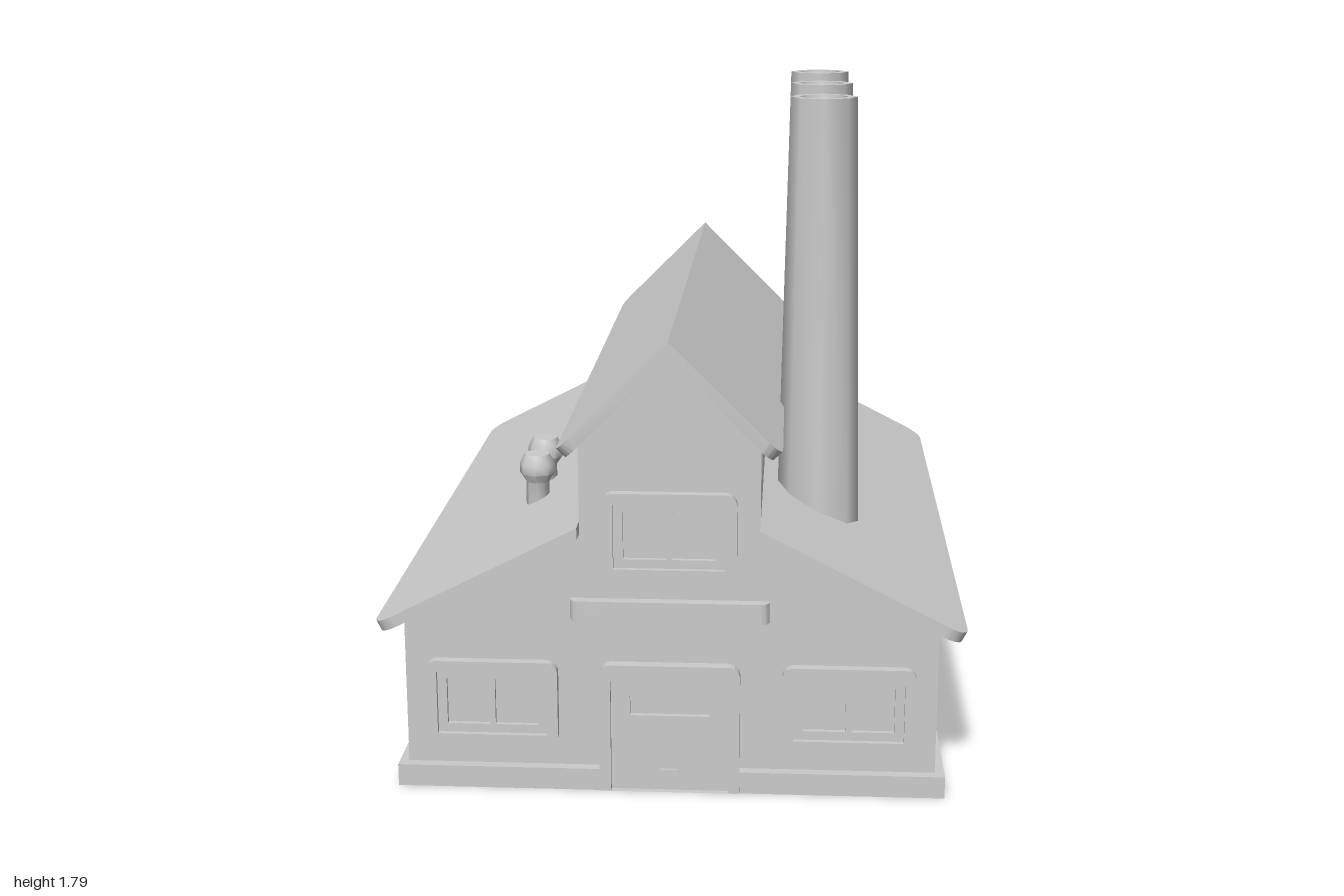
import * as THREE from 'three';
import { toCreasedNormals } from 'three/addons/utils/BufferGeometryUtils.js';

const material = new THREE.MeshStandardMaterial({ color: 0xcccccc });

function addMesh(parent, name, geometry, x = 0, y = 0, z = 0) {
  const mesh = new THREE.Mesh(toCreasedNormals(geometry, 0.9), material);
  mesh.name = name;
  mesh.position.set(x, y, z);
  parent.add(mesh);
  return mesh;
}

function extrude(shape, depth) {
  return new THREE.ExtrudeGeometry(shape, { depth, bevelEnabled: false, curveSegments: 5 });
}

function polygon(points) {
  return new THREE.Shape(points.map(([x, y]) => new THREE.Vector2(x, y)));
}

function rect(x0, y0, x1, y1) {
  return polygon([[x0, y0], [x1, y0], [x1, y1], [x0, y1]]);
}

// Rectangle with rounded top corners and, if rb > 0, rounded bottom corners
function roundRect(x0, y0, x1, y1, rt, rb = rt) {
  const s = new THREE.Shape();
  s.moveTo(x0 + rb, y0);
  s.lineTo(x1 - rb, y0);
  if (rb) s.absarc(x1 - rb, y0 + rb, rb, -Math.PI / 2, 0);
  s.lineTo(x1, y1 - rt);
  if (rt) s.absarc(x1 - rt, y1 - rt, rt, 0, Math.PI / 2);
  s.lineTo(x0 + rt, y1);
  if (rt) s.absarc(x0 + rt, y1 - rt, rt, Math.PI / 2, Math.PI);
  s.lineTo(x0, y0 + rb);
  if (rb) s.absarc(x0 + rb, y0 + rb, rb, Math.PI, Math.PI * 1.5);
  return s;
}

// Window facing +z, its back on z = 0
function makeWindow() {
  const g = new THREE.Group();
  g.name = 'window';
  const frame = roundRect(-0.175, -0.117, 0.175, 0.117, 0.03);
  frame.holes.push(rect(-0.145, -0.087, 0.145, 0.087));
  addMesh(g, 'windowFrame', extrude(frame, 0.035), 0, 0, -0.01);
  const sash = rect(-0.146, -0.088, 0.146, 0.088);
  sash.holes.push(rect(-0.12, -0.063, -0.008, 0.063), rect(0.008, -0.063, 0.12, 0.063));
  addMesh(g, 'windowSash', extrude(sash, 0.022), 0, 0, -0.01);
  return g;
}

// Door facing +z, its back on z = 0
function makeDoor() {
  const g = new THREE.Group();
  g.name = 'door';
  const frame = roundRect(-0.185, 0, 0.185, 0.355, 0.03, 0);
  frame.holes.push(roundRect(-0.155, 0, 0.155, 0.32, 0.012, 0));
  addMesh(g, 'doorFrame', extrude(frame, 0.04), 0, 0, -0.01);
  const panel = rect(-0.155, 0, 0.155, 0.32);
  panel.holes.push(rect(-0.105, 0.21, 0.105, 0.265));
  addMesh(g, 'doorPanel', extrude(panel, 0.024), 0, 0, -0.01);
  addMesh(g, 'doorHandle', extrude(roundRect(-0.026, 0.045, 0.026, 0.06, 0.004), 0.014), 0, 0, 0.01);
  return g;
}

// Roof slab falling towards +x, cut upright at its top, rounded at the eave corners
function makeRoofSlab(topX, topY, eaveX, eaveY, halfZ, thickness, radius) {
  const length = Math.hypot(eaveX - topX, eaveY - topY);
  const c = (eaveX - topX) / length;
  const s = (topY - eaveY) / length;
  const shape = new THREE.Shape();
  shape.moveTo(0, -halfZ);
  shape.lineTo(length - radius, -halfZ);
  shape.absarc(length - radius, -halfZ + radius, radius, -Math.PI / 2, 0);
  shape.lineTo(length, halfZ - radius);
  shape.absarc(length - radius, halfZ - radius, radius, 0, Math.PI / 2);
  shape.lineTo(0, halfZ);
  const geometry = extrude(shape, thickness);
  const p = geometry.attributes.position;
  for (let i = 0; i < p.count; i++) {
    if (p.getX(i) < 1e-5) p.setX(i, p.getZ(i) * s / c);
  }
  const placing = new THREE.Matrix4().makeBasis(
    new THREE.Vector3(c, -s, 0), new THREE.Vector3(0, 0, 1), new THREE.Vector3(-s, -c, 0));
  placing.setPosition(topX, topY, 0);
  return geometry.applyMatrix4(placing);
}

function lathe(points) {
  return new THREE.LatheGeometry(points.map(([x, y]) => new THREE.Vector2(x, y)), 8);
}

export function createModel() {
  const model = new THREE.Group();
  model.name = 'factory';

  // Walls with the raised middle as one cross-section
  const half = [[0.7, 0.02], [0.7, 0.48], [0.235, 0.72], [0.235, 0.955]];
  const section = [...half, [0, 1.19], ...half.map(([x, y]) => [-x, y]).reverse()];
  addMesh(model, 'walls', extrude(polygon(section), 1.876), 0, 0, -0.938);

  // Plinth, notched at both doors
  const end = [[0.725, 0.965], [0.155, 0.965], [0.155, 0.95], [-0.155, 0.95], [-0.155, 0.965], [-0.725, 0.965]];
  const plan = polygon([...end, ...end.map(([x, z]) => [-x, -z])]);
  addMesh(model, 'plinth', extrude(plan, 0.06).rotateX(-Math.PI / 2));

  // Roofs, the second half turned round
  for (const turn of [0, Math.PI]) {
    const lower = makeRoofSlab(0.234, 0.74, 0.772, 0.464, 1, 0.03, 0.06);
    addMesh(model, 'lowerRoof', lower).rotation.y = turn;
    const upper = makeRoofSlab(0, 1.226, 0.29, 0.936, 0.988, 0.032, 0.05);
    addMesh(model, 'upperRoof', upper).rotation.y = turn;
  }

  // Matching front and back gables
  for (const turn of [0, Math.PI]) {
    const gable = new THREE.Group();
    gable.name = turn ? 'backGable' : 'frontGable';
    gable.rotation.y = turn;
    for (const [x, y] of [[-0.47, 0.238], [0.47, 0.238], [0, 0.705]]) {
      const w = makeWindow();
      w.position.set(x, y, 0.938);
      gable.add(w);
    }
    const door = makeDoor();
    door.position.z = 0.938;
    gable.add(door);
    const board = extrude(roundRect(-0.26, -0.967, 0.26, -0.9, 0, 0.025), 0.056);
    addMesh(gable, 'ledge', board.rotateX(-Math.PI / 2).rotateZ(0), 0, 0.474, 0);
    model.add(gable);
  }

  // Side windows
  for (const side of [-1, 1]) {
    for (const z of [-0.235, 0.235]) {
      const w = makeWindow();
      w.position.set(side * 0.7, 0.238, z);
      w.rotation.y = side * Math.PI / 2;
      model.add(w);
    }
  }

  // Tall tapered chimneys with hollow tops
  const stack = [[0.117, 0.5], [0.09, 1.79], [0.066, 1.79], [0.06, 1.75], [0.04, 1.725], [0, 1.715]];
  for (const z of [-0.47, 0, 0.47]) addMesh(model, 'chimney', lathe(stack), 0.387, 0, z);

  // Small roof vents
  const vent = [[0.033, 0.58], [0.033, 0.705], [0.05, 0.73], [0.05, 0.757], [0.036, 0.785], [0, 0.785]];
  for (const z of [0.29, 0.465]) addMesh(model, 'roofVent', lathe(vent), -0.406, 0, z);

  return model;
}
